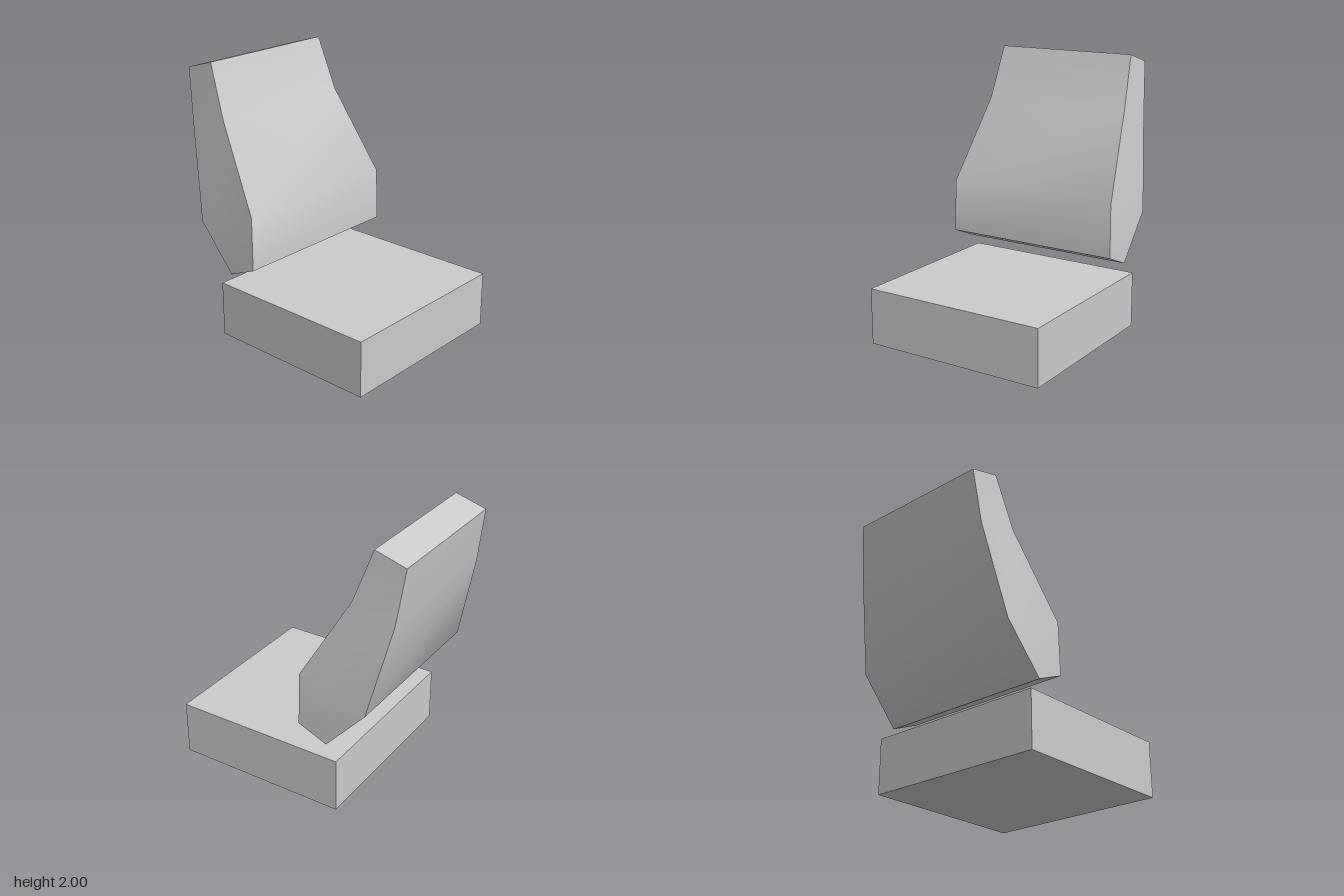
import * as THREE from 'three';
import { toCreasedNormals } from 'three/addons/utils/BufferGeometryUtils.js';

const material = new THREE.MeshStandardMaterial({ color: 0xcccccc });

// Seat block
function createSeat() {
  const seat = new THREE.Mesh(new THREE.BoxGeometry(1.325, 0.415, 1.395), material);
  seat.position.set(0.207, 0.2075, -0.002);
  seat.name = 'seat';
  return seat;
}

// Reclined backrest: four-cornered sections joined from bottom to top
function createBackrest() {
  // [rear x, rear y, front x, front y, half width]
  const sections = [
    [-0.36, 0.51, -0.135, 0.605, 0.682],
    [-0.66, 0.84, -0.142, 1.0, 0.676],
    [-0.815, 1.52, -0.495, 1.61, 0.583],
    [-0.87, 1.93, -0.637, 2.0, 0.553],
  ];
  const zMid = 0.006;
  const positions = [];
  for (const [rx, ry, fx, fy, w] of sections) {
    positions.push(rx, ry, zMid + w, fx, fy, zMid + w, fx, fy, zMid - w, rx, ry, zMid - w);
  }

  const index = [];
  const quad = (a, b, c, d) => index.push(a, b, c, a, c, d);
  for (let s = 0; s < sections.length - 1; s++) {
    for (let k = 0; k < 4; k++) {
      const a = s * 4 + k;
      const b = s * 4 + ((k + 1) % 4);
      quad(a, b, b + 4, a + 4);
    }
  }
  quad(3, 2, 1, 0); // underside
  quad(12, 13, 14, 15); // top edge

  const geometry = new THREE.BufferGeometry();
  geometry.setAttribute('position', new THREE.Float32BufferAttribute(positions, 3));
  geometry.setIndex(index);

  // Curved front and rear stay smooth, outer edges stay sharp
  const backrest = new THREE.Mesh(toCreasedNormals(geometry, THREE.MathUtils.degToRad(40)), material);
  backrest.name = 'backrest';
  return backrest;
}

export function createModel() {
  const group = new THREE.Group();
  group.name = 'chair';
  group.add(createSeat(), createBackrest());
  return group;
}
